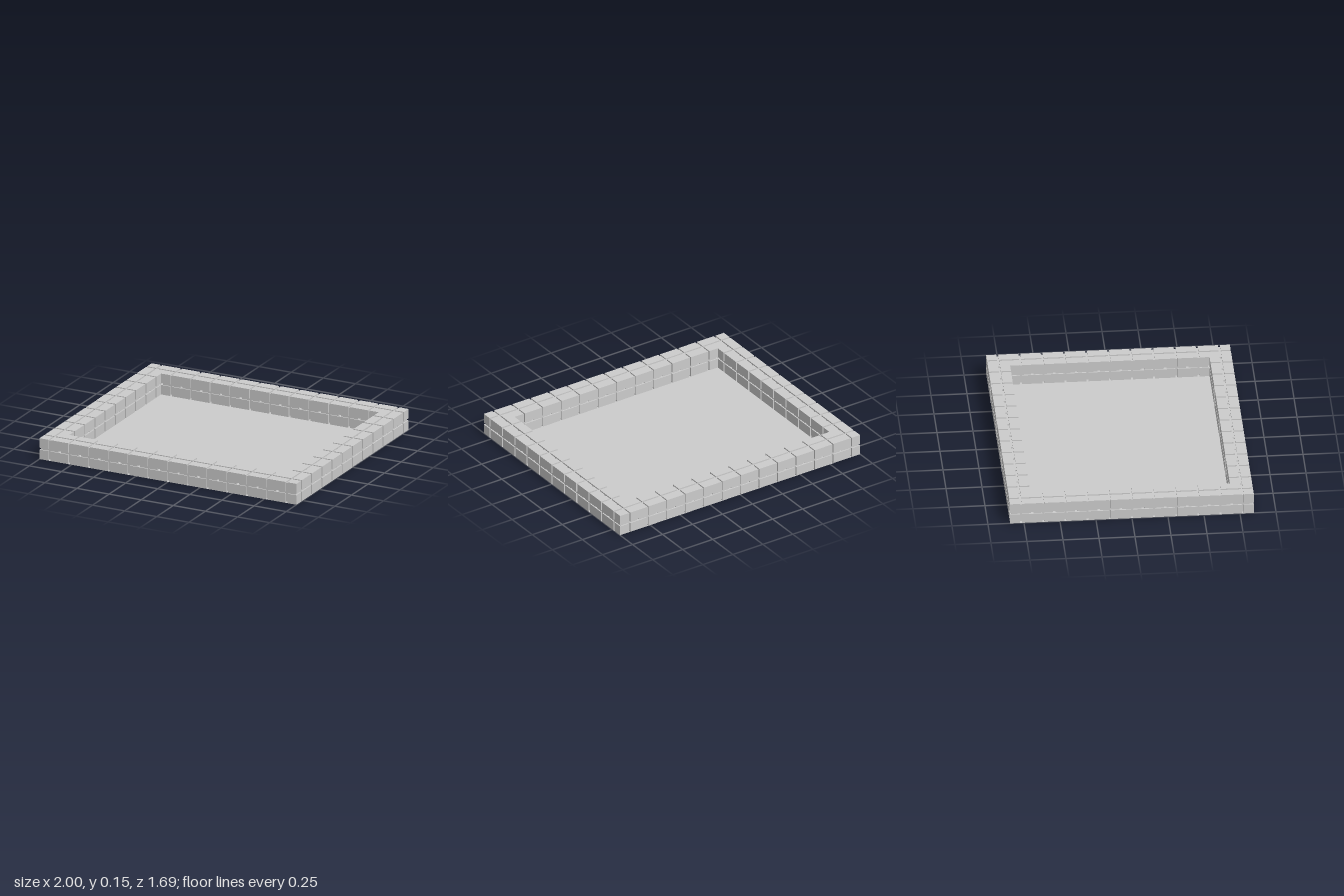
import * as THREE from 'three';
import { mergeGeometries } from 'three/addons/utils/BufferGeometryUtils.js';

const NX = 13, NZ = 11;      // blocks along each side
const S = 2 / NX;            // block size
const GROOVE = 0.014;        // groove width
const DEPTH = 0.009;         // groove depth

// Cube with a cross-shaped groove on every face: eight corner cubes around a core
function groovedBlock() {
  const core = S - 2 * DEPTH;
  const c = (S - GROOVE) / 2;
  const o = (S - c) / 2;
  const parts = [new THREE.BoxGeometry(core, core, core)];
  for (const x of [-o, o])
    for (const y of [-o, o])
      for (const z of [-o, o])
        parts.push(new THREE.BoxGeometry(c, c, c).translate(x, y, z));
  return mergeGeometries(parts);
}

export function createModel() {
  const model = new THREE.Group();
  model.name = 'walledCourt';
  const material = new THREE.MeshStandardMaterial({ color: 0xcccccc });

  // Ring of blocks around the edge
  const wall = new THREE.Group();
  wall.name = 'wall';
  const geometry = groovedBlock();
  for (let i = 0; i < NX; i++) {
    for (let k = 0; k < NZ; k++) {
      if (i > 0 && i < NX - 1 && k > 0 && k < NZ - 1) continue;
      const block = new THREE.Mesh(geometry, material);
      block.name = 'wallBlock';
      block.position.set((i - (NX - 1) / 2) * S, S / 2, (k - (NZ - 1) / 2) * S);
      wall.add(block);
    }
  }
  model.add(wall);

  // Thin floor under the whole ring
  const floor = new THREE.Mesh(
    new THREE.PlaneGeometry(NX * S, NZ * S).rotateX(-Math.PI / 2),
    new THREE.MeshStandardMaterial({ color: 0xcccccc, side: THREE.DoubleSide })
  );
  floor.name = 'floor';
  model.add(floor);

  return model;
}
